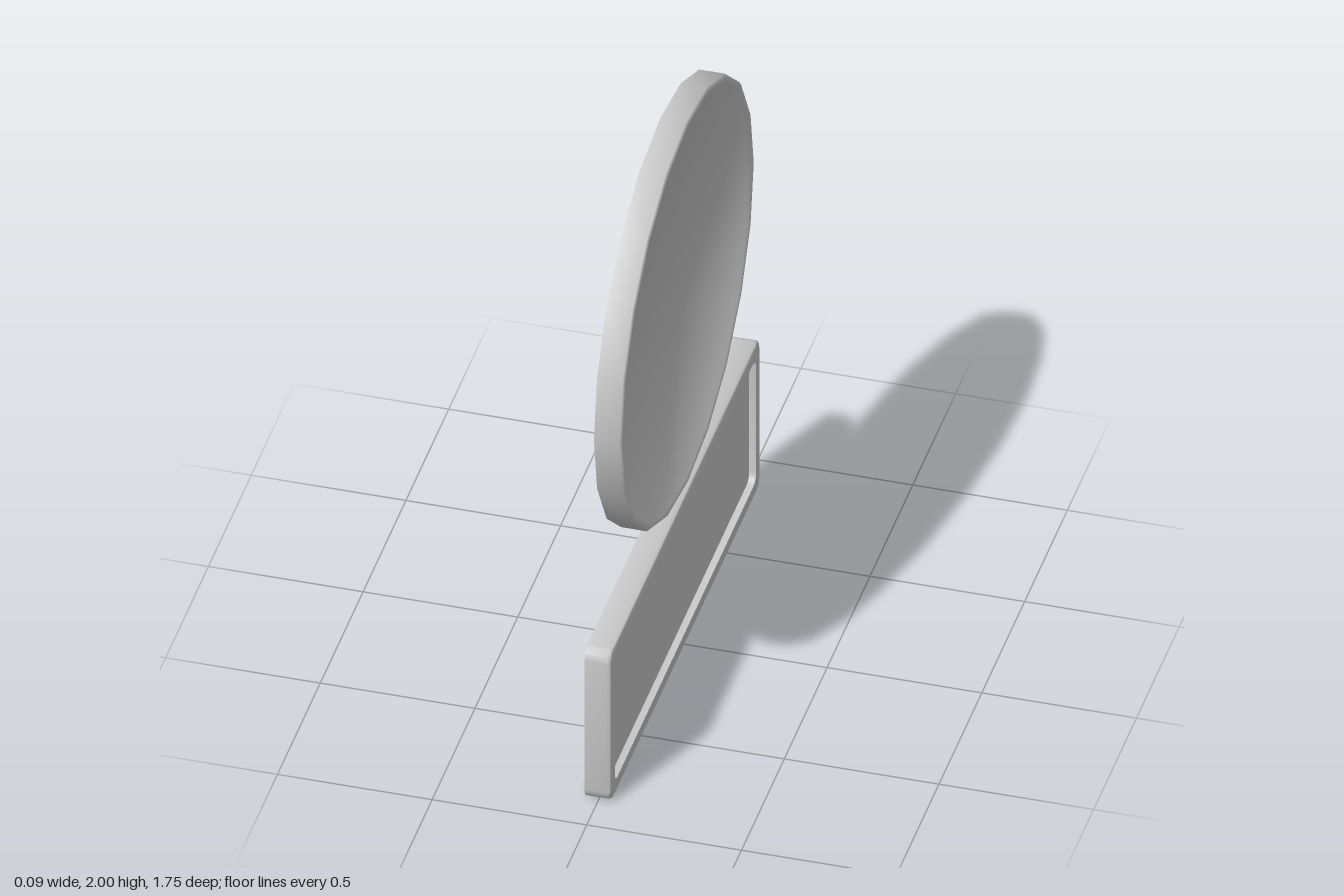
import * as THREE from 'three';
import { toCreasedNormals } from 'three/addons/utils/BufferGeometryUtils.js';

const material = new THREE.MeshStandardMaterial({ color: 0xcccccc, side: THREE.DoubleSide });

// Faceted oval outline in the zy plane, drawn inwards by inset
function oval(halfZ, halfY, sides) {
  return (inset) => Array.from({ length: sides }, (_, i) => {
    const a = (i / sides) * Math.PI * 2;
    return [Math.sin(a) * (halfZ - inset), Math.cos(a) * (halfY - inset)];
  });
}

// Rounded rectangle outline in the zy plane, drawn inwards by inset
function roundedRect(halfZ, halfY, radius, steps) {
  return (inset) => {
    const r = radius - inset * 0.2;
    const points = [];
    for (let corner = 0; corner < 4; corner++) {
      const sz = corner < 2 ? 1 : -1;
      const sy = corner === 0 || corner === 3 ? 1 : -1;
      for (let i = 0; i <= steps; i++) {
        const a = (corner + i / steps) * Math.PI / 2;
        points.push([
          sz * (halfZ - inset - r) + Math.sin(a) * r,
          sy * (halfY - inset - r) + Math.cos(a) * r,
        ]);
      }
    }
    return points;
  };
}

// Open-backed tray: rings of [inset, x] from back to front, closed by a face at the last ring
function tray(outline, profile, crease) {
  const positions = [];
  const index = [];
  const n = outline(0).length;
  for (const [inset, x] of profile) {
    for (const [z, y] of outline(inset)) positions.push(x, y, z);
  }
  for (let k = 0; k < profile.length - 1; k++) {
    for (let j = 0; j < n; j++) {
      const a = k * n + j;
      const b = k * n + (j + 1) % n;
      index.push(a, b, b + n, a, b + n, a + n);
    }
  }
  const centre = positions.length / 3;
  const last = centre - n;
  positions.push(profile[profile.length - 1][1], 0, 0);
  for (let j = 0; j < n; j++) index.push(centre, last + j, last + (j + 1) % n);

  const geometry = new THREE.BufferGeometry();
  geometry.setAttribute('position', new THREE.Float32BufferAttribute(positions, 3));
  geometry.setIndex(index);
  return toCreasedNormals(geometry, crease);
}

function addPart(group, name, geometry, y, z) {
  const mesh = new THREE.Mesh(geometry, material);
  mesh.name = name;
  mesh.position.set(0, y, z);
  group.add(mesh);
}

export function createModel() {
  const group = new THREE.Group();
  group.name = 'wallSign';

  // Upper oval sign with a thin raised lip
  addPart(group, 'ovalSign', tray(oval(0.775, 0.695, 20), [
    [0, -0.045], [0, 0.038], [0.008, 0.045], [0.024, 0.042], [0.035, 0.03],
  ], 1.0), 1.305, -0.02);

  // Lower rectangular sign with a flat border and a recessed panel
  addPart(group, 'rectangularSign', tray(roundedRect(0.875, 0.2875, 0.04, 4), [
    [0, -0.042], [0, 0.032], [0.003, 0.039], [0.01, 0.042], [0.05, 0.042], [0.051, 0.02],
  ], 0.8), 0.2875, 0);

  return group;
}
